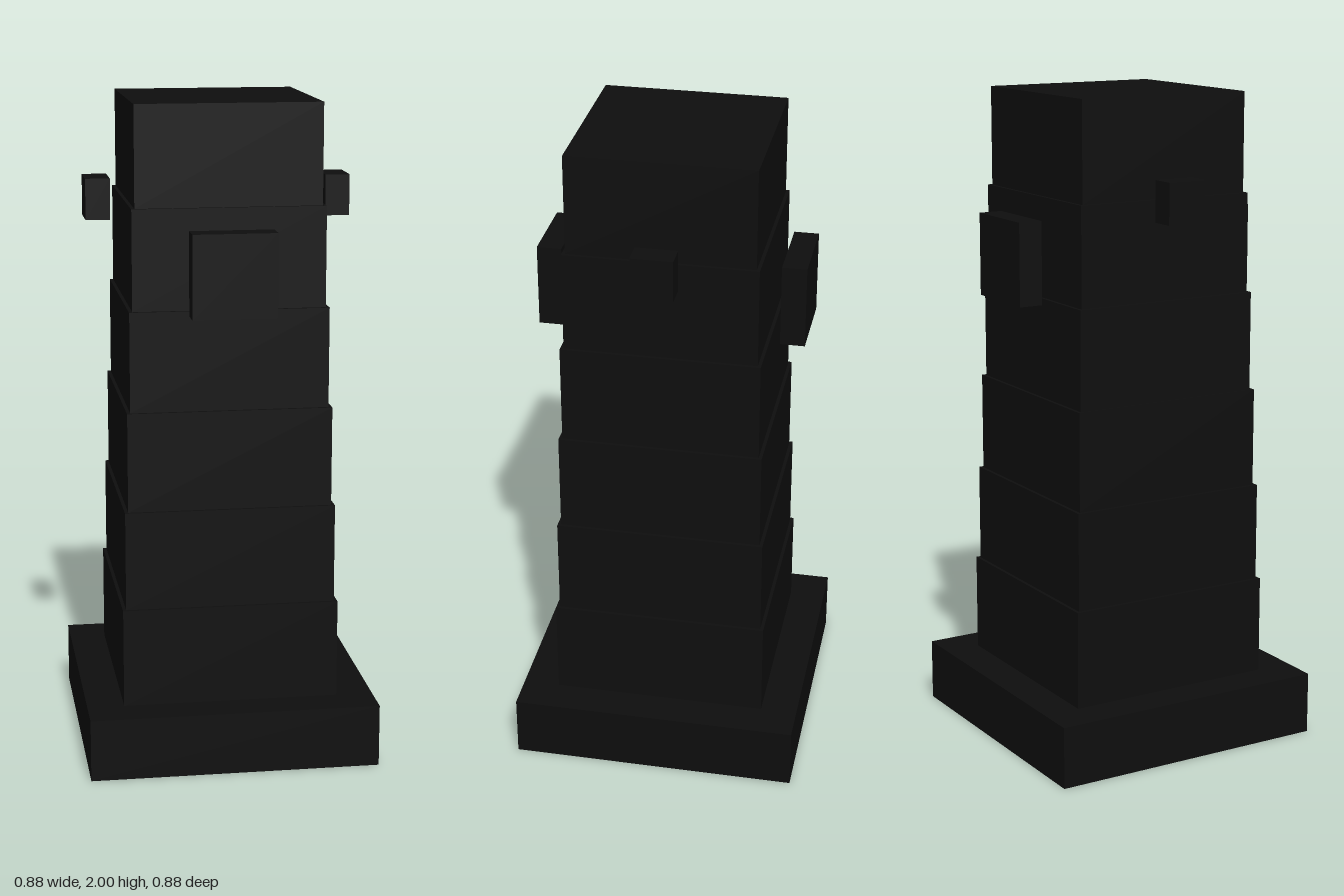
import * as THREE from 'three';

export function createModel() {
  const model = new THREE.Group();
  model.name = 'steppedTower';
  const black = new THREE.MeshStandardMaterial({ color: 0x0e0e0e });
  black.name = 'black';

  // Box placed by the height of its underside
  const addBox = (name, w, h, d, x, bottom, z) => {
    const mesh = new THREE.Mesh(new THREE.BoxGeometry(w, h, d), black);
    mesh.name = name;
    mesh.position.set(x, bottom + h / 2, z);
    model.add(mesh);
  };

  // Wide plinth
  const baseHeight = 0.191;
  addBox('base', 0.88, baseHeight, 0.88, 0, 0, 0);

  // Six square tiers, each slightly narrower than the one below
  const tiers = 6;
  const tierHeight = (2 - baseHeight) / tiers;
  for (let i = 0; i < tiers; i++) {
    const width = 0.656 - i * 0.02;
    addBox(`tier${i + 1}`, width, tierHeight, width, 0, baseHeight + i * tierHeight, 0);
  }

  // Panels standing clear of the walls on all four sides
  for (const s of [1, -1]) {
    addBox(s > 0 ? 'frontPanel' : 'backPanel', 0.25, 0.25, 0.074, 0, 1.388, s * 0.365);
    addBox(s > 0 ? 'leftPanel' : 'rightPanel', 0.074, 0.124, 0.124, s * 0.365, 1.638, 0);
  }

  return model;
}
